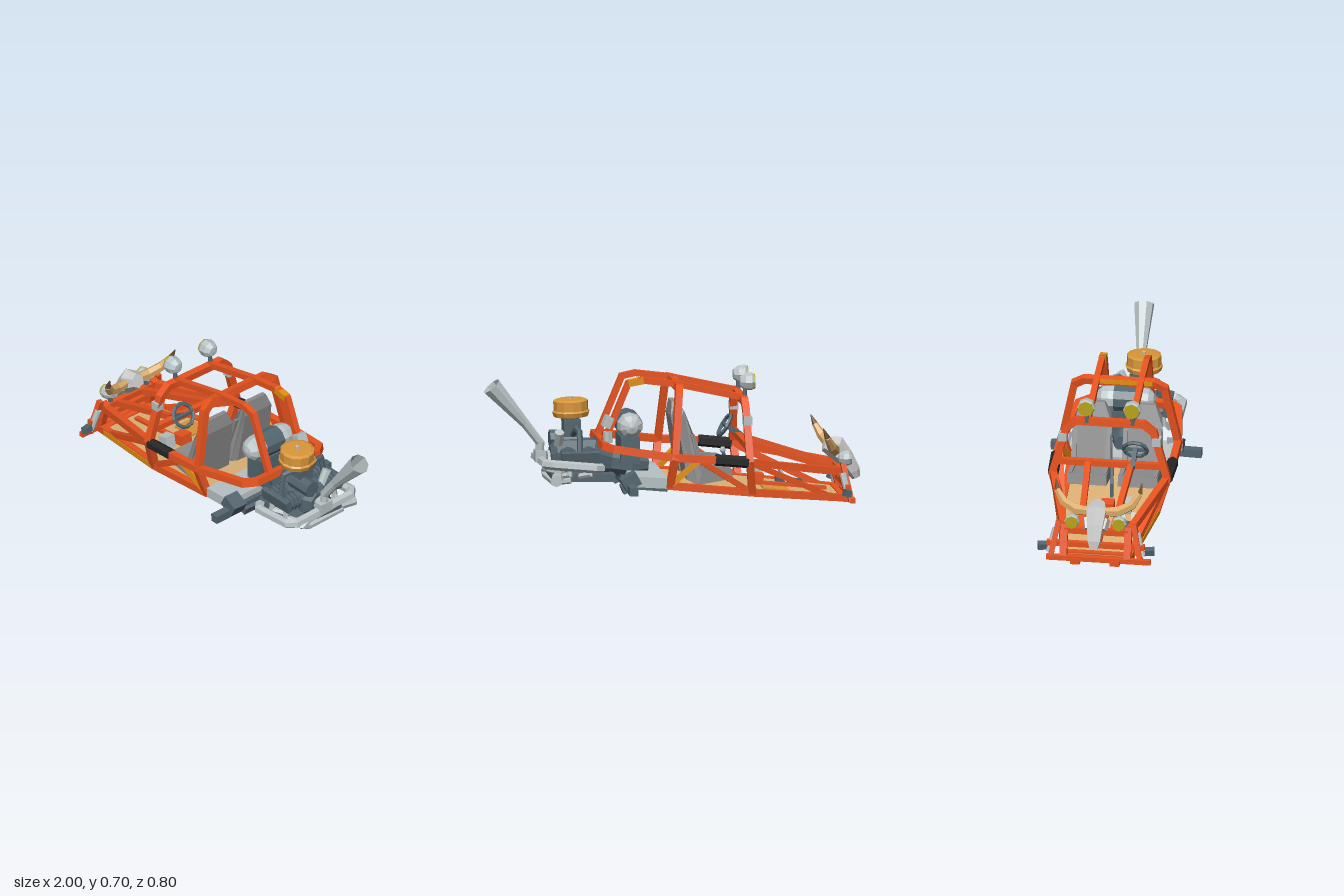
import * as THREE from 'three';

const COLORS = {
  red: 0xe8531f, amber: 0xe0900f, tan: 0xdcb277, steel: 0x53656f, light: 0xb9c3c5, seat: 0x8c8c8c, dark: 0x262626,
  bone: 0xbfc3c2, horn: 0xd6a765, tip: 0x6b4a2c, lens: 0xb8a418, filter: 0xd9973a,
};
const V = (a) => new THREE.Vector3(...a);
const flat = (list) => list.map((p) => new THREE.Vector2(...p));
const both = (fn) => [1, -1].forEach(fn);
// Points of one half, joined to their mirror image across z
const hoop = (half) => [...half, ...half.map(([x, y, z]) => [x, y, -z]).reverse()];

export function createModel() {
  const model = new THREE.Group();
  const mats = {};
  for (const k in COLORS) {
    mats[k] = new THREE.MeshStandardMaterial({ color: COLORS[k], flatShading: true, side: THREE.DoubleSide });
  }
  const add = (name, geo, mat, pos = [0, 0, 0], rot = [0, 0, 0]) => {
    const m = new THREE.Mesh(geo, mats[mat]);
    m.name = name;
    m.position.set(...pos);
    m.rotation.set(...rot);
    model.add(m);
  };
  const box = (name, mat, size, pos, rot) => add(name, new THREE.BoxGeometry(...size), mat, pos, rot);
  const cyl = (name, mat, r1, r2, h, pos, rot, n = 8) => add(name, new THREE.CylinderGeometry(r1, r2, h, n), mat, pos, rot);
  // Mitred tube along points; r is one half width or one per point
  const bar = (name, mat, points, r = 0.019, sides = 4, open = false) =>
    add(name, sweep(points.map(V), r, sides, open), mat);

  // ---- Tubular frame ----
  bar('frontHoop', 'red', hoop([[-0.39, 0.08, 0.25], [-0.37, 0.26, 0.305], [-0.36, 0.52, 0.232], [-0.36, 0.563, 0.18]]));
  bar('mainHoop', 'red', hoop([[0.05, 0.13, 0.265], [0.03, 0.28, 0.31], [0, 0.61, 0.24], [-0.01, 0.642, 0.185]]));
  bar('mainHoopPatch', 'amber', [[-0.02, 0.644, 0.18], [-0.02, 0.644, -0.11]], 0.013);
  bar('sideRails', 'red', hoop([[-0.88, 0.17, 0.17], [-0.37, 0.255, 0.3], [-0.18, 0.275, 0.31],
    [0.03, 0.29, 0.308], [0.34, 0.335, 0.265], [0.385, 0.342, 0.21]]));
  both((s) => {
    bar('lowerRail', 'red', [[-0.92, 0.03, s * 0.17], [-0.39, 0.085, s * 0.25], [0.06, 0.135, s * 0.265]]);
    bar('roofRail', 'red', [[-0.37, 0.57, s * 0.118], [-0.01, 0.652, s * 0.118], [0.18, 0.677, s * 0.118],
      [0.25, 0.662, s * 0.118], [0.38, 0.35, s * 0.118]], 0.016);
    bar('hoodRail', 'red', [[-0.88, 0.165, s * 0.085], [-0.37, 0.33, s * 0.115]], 0.016);
    bar('frontDiagonal', 'red', [[-0.8, 0.05, s * 0.185], [-0.39, 0.245, s * 0.295]], 0.015);
    bar('middleDiagonal', 'red', [[-0.38, 0.09, s * 0.25], [-0.09, 0.28, s * 0.305]], 0.015);
    bar('rearDiagonal', 'amber', [[-0.1, 0.275, s * 0.306], [0.045, 0.14, s * 0.268]], 0.016);
    bar('noseUpright', 'red', [[-0.92, 0.02, s * 0.17], [-0.87, 0.2, s * 0.17]]);
    bar('railSleeve', 'dark', [[-0.36, 0.256, s * 0.302], [-0.185, 0.275, s * 0.31]], 0.027, 6);
  });
  bar('lowerRailPatch', 'amber', [[-0.85, 0.038, 0.191], [-0.395, 0.086, 0.26]], 0.013);
  bar('roofPatch', 'amber', [[0.17, 0.676, -0.118], [0.25, 0.662, -0.118]], 0.018);
  [[-0.88, 0.17, 0.17], [-0.37, 0.33, 0.28], [0.055, 0.135, 0.265], [-0.88, 0.035, 0.17]]
    .forEach(([x, y, z]) => bar('crossBar', 'red', [[x, y, z], [x, y, -z]], 0.016));

  // ---- Floor ----
  const plan = new THREE.Shape(flat([[-0.9, 0.15], [-0.39, 0.24], [0.05, 0.255], [0.05, -0.255], [-0.39, -0.24], [-0.9, -0.15]]));
  const floorGeo = new THREE.ExtrudeGeometry(plan, { depth: 0.012, bevelEnabled: false }).rotateX(-Math.PI / 2).rotateZ(0.105);
  add('floor', floorGeo, 'tan', [0, 0.124, 0]);
  box('floorHatch', 'filter', [0.14, 0.012, 0.11], [-0.53, 0.084, -0.13], [0, 0, 0.105]);
  box('rearDeck', 'light', [0.2, 0.05, 0.52], [0.155, 0.155, 0], [0, 0, 0.1]);
  box('rearSkid', 'steel', [0.2, 0.03, 0.5], [0.16, 0.125, 0], [0, 0, 0.1]);

  // ---- Nose beams and uprights ----
  bar('frontBeam', 'red', [[-0.925, 0.028, 0.295], [-0.925, 0.028, -0.26]], 0.013);
  bar('upperBeam', 'red', [[-0.9, 0.1, 0.26], [-0.9, 0.1, -0.26]], 0.014);
  both((s) => {
    box('beamFoot', 'red', [0.05, 0.03, 0.05], [-0.92, 0.015, s * 0.105]);
    bar('shockTower', 'red', [[-0.92, 0.02, s * 0.24], [-0.88, 0.22, s * 0.2]], 0.014);
    cyl('shockAbsorber', 'light', 0.018, 0.018, 0.13, [-0.89, 0.11, s * 0.232], [s * -0.25, 0, -0.2]);
    box('steeringKnuckle', 'steel', [0.035, 0.035, 0.05], [-0.89, 0.075, s * 0.285], [0, 0.2, 0.2]);
  });

  // ---- Lamps: bowl behind, lens facing the nose ----
  const lamp = (name, x, y, z, r) => {
    const bowl = flat([[0, 0.8], [0.55, 0.75], [0.95, 0.2], [1, -0.5], [0.82, -0.8]]);
    add(name + 'Shell', new THREE.LatheGeometry(bowl, 8).scale(r, r, r), 'light', [x, y, z], [0, 0, -Math.PI / 2]);
    cyl(name + 'Lens', 'lens', r * 0.86, r * 0.86, 0.01, [x - r * 0.76, y, z], [0, 0, Math.PI / 2]);
  };
  both((s) => {
    lamp('roofLamp', -0.38, 0.657, s * 0.122, 0.048);
    cyl('roofLampStalk', 'steel', 0.01, 0.014, 0.06, [-0.37, 0.59, s * 0.122]);
    box('roofLampClamp', 'light', [0.045, 0.045, 0.045], [-0.365, 0.47, s * 0.25]);
    lamp('noseLamp', -0.9, 0.235, s * 0.125, 0.04);
    bar('noseLampStalk', 'steel', [[-0.88, 0.17, s * 0.125], [-0.89, 0.21, s * 0.125]], 0.01);
    // Horns curve outward, then up and back
    bar('horn', 'horn', [[-0.86, 0.275, s * 0.03], [-0.85, 0.275, s * 0.11], [-0.825, 0.305, s * 0.18], [-0.795, 0.36, s * 0.22]],
      [0.02, 0.025, 0.022, 0.014], 6);
    bar('hornTip', 'tip', [[-0.795, 0.36, s * 0.22], [-0.772, 0.412, s * 0.228]], [0.014, 0.002], 6);
    box('skullCheek', 'bone', [0.06, 0.045, 0.025], [-0.9, 0.22, s * 0.05], [0, s * -0.3, 0.9]);
  });
  bar('skull', 'bone', [[-0.81, 0.295, 0], [-0.87, 0.275, 0], [-0.92, 0.215, 0], [-0.965, 0.145, 0], [-0.98, 0.11, 0]],
    [0.035, 0.052, 0.042, 0.032, 0.02], 6);

  // ---- Cockpit ----
  const seatSide = new THREE.Shape(flat([[-0.29, 0.16], [-0.28, 0.215], [-0.13, 0.205], [-0.075, 0.41], [-0.035, 0.525],
    [-0.01, 0.525], [0.0, 0.45], [-0.045, 0.16], [-0.1, 0.13]]));
  both((s) => {
    const geo = new THREE.ExtrudeGeometry(seatSide, { depth: 0.21, bevelEnabled: false }).translate(0, 0, -0.105);
    const p = geo.attributes.position;
    // Narrow toward the top of the backrest
    for (let i = 0; i < p.count; i++) p.setZ(i, p.getZ(i) * (1 - Math.max(0, p.getY(i) - 0.42) * 4));
    geo.computeVertexNormals();
    add('seat', geo, 'seat', [0, 0, s * 0.135]);
    both((t) => bar('seatBolster', 'seat', [[-0.27, 0.21, s * 0.135 + t * 0.09], [-0.13, 0.21, s * 0.135 + t * 0.09],
      [-0.075, 0.4, s * 0.135 + t * 0.09]], [0.01, 0.016, 0.01]));
  });
  const hub = [-0.3, 0.385, 0.125];
  add('steeringWheel', new THREE.TorusGeometry(0.063, 0.011, 5, 12).rotateY(Math.PI / 2), 'steel', hub, [0, 0, 0.55]);
  bar('steeringColumn', 'steel', [hub, [-0.4, 0.325, 0.125]], 0.012);
  bar('steeringSpoke', 'steel', [[-0.3, 0.385, 0.065], [-0.3, 0.385, 0.185]], 0.008);
  bar('gearLever', 'steel', [[-0.3, 0.1, 0], [-0.3, 0.18, 0], [-0.27, 0.27, 0]], 0.008);
  add('gearKnob', new THREE.IcosahedronGeometry(0.018, 0), 'light', [-0.27, 0.275, 0]);
  box('toolBox', 'red', [0.065, 0.065, 0.07], [-0.45, 0.115, 0], [0, 0, 0.1]);
  bar('floorTunnel', 'red', [[-0.82, 0.055, 0], [-0.48, 0.09, 0]], 0.013);
  box('pedalBase', 'steel', [0.14, 0.025, 0.04], [-0.64, 0.078, 0.14], [0, 0.1, 0.1]);
  [0.06, 0.1, 0.16].forEach((z) => box('pedal', 'light', [0.012, 0.075, 0.03], [-0.6, 0.12, z], [0, 0, -0.45]));
  box('floorCan', 'light', [0.06, 0.07, 0.06], [-0.46, 0.135, 0.1], [0, 0, 0.2]);

  // ---- Fuel tank across the frame behind the seats ----
  const tank = [[0, -0.16], [0.035, -0.15], [0.06, -0.125], [0.068, -0.09], [0.068, 0.09], [0.06, 0.125], [0.035, 0.15], [0, 0.16]];
  add('fuelTank', new THREE.LatheGeometry(flat(tank), 10), 'light', [0.235, 0.43, 0], [Math.PI / 2, 0, 0]);
  cyl('tankBand', 'steel', 0.071, 0.071, 0.12, [0.235, 0.43, 0], [Math.PI / 2, 0, 0], 10);
  box('tankCradle', 'steel', [0.1, 0.14, 0.2], [0.235, 0.3, 0]);
  box('coilBox', 'light', [0.045, 0.06, 0.06], [0.36, 0.46, -0.115], [0, 0, 0.4]);
  cyl('breatherCan', 'light', 0.026, 0.026, 0.06, [0.36, 0.38, -0.13]);

  // ---- Rear axle and gearbox ----
  both((s) => {
    bar('axle', 'steel', [[0.26, 0.14, 0], [0.26, 0.128, s * 0.4]], 0.022);
    box('axleHousing', 'steel', [0.09, 0.07, 0.085], [0.26, 0.165, s * 0.262], [0, 0, -0.5]);
    box('axleBracket', 'steel', [0.07, 0.045, 0.08], [0.26, 0.118, s * 0.17], [0, 0, -0.4]);
    bar('trailingArm', 'light', [[0.07, 0.15, s * 0.255], [0.25, 0.165, s * 0.262]], 0.028);
  });
  bar('gearbox', 'steel', [[0.13, 0.21, 0], [0.22, 0.215, 0], [0.33, 0.23, 0], [0.43, 0.25, 0]], [0.045, 0.07, 0.07, 0.11], 8);

  // ---- Engine ----
  bar('crankcase', 'steel', [[0.4, 0.255, 0], [0.62, 0.255, 0], [0.65, 0.255, 0]], [0.095, 0.095, 0.06], 8);
  box('sump', 'steel', [0.34, 0.04, 0.28], [0.49, 0.165, 0], [0, 0, 0.03]);
  both((s) => {
    [0.46, 0.57].forEach((x) => {
      for (let i = 0; i < 3; i++) cyl('coolingFin', 'steel', 0.05, 0.05, 0.014, [x, 0.28, s * (0.11 + i * 0.026)], [Math.PI / 2, 0, 0]);
      cyl('cylinderBarrel', 'steel', 0.04, 0.04, 0.1, [x, 0.28, s * 0.13], [Math.PI / 2, 0, 0]);
      bar('exhaustPort', 'light', [[x, 0.25, s * 0.16], [x, 0.19, s * 0.17], [x + 0.05, 0.175, s * 0.13]], 0.014, 6);
    });
    box('rockerCover', 'steel', [0.2, 0.065, 0.03], [0.515, 0.28, s * 0.185], [s * 0.2, 0, 0]);
    bar('intakeManifold', 'steel', [[0.53, 0.38, s * 0.02], [0.52, 0.42, s * 0.08], [0.51, 0.41, s * 0.13], [0.51, 0.3, s * 0.15]], 0.014, 6);
  });
  cyl('crankPulley', 'light', 0.045, 0.045, 0.02, [0.655, 0.25, 0], [0, 0, Math.PI / 2]);
  cyl('generator', 'steel', 0.046, 0.046, 0.15, [0.57, 0.35, 0.05], [0, 0, Math.PI / 2]);
  cyl('distributor', 'light', 0.026, 0.022, 0.1, [0.61, 0.36, -0.06], [-0.5, 0, 0]);
  box('carburettor', 'steel', [0.09, 0.09, 0.09], [0.53, 0.41, 0.03]);
  cyl('airHorn', 'steel', 0.055, 0.045, 0.04, [0.535, 0.46, 0.05]);
  // Radius and height of the air filter, bottom to top
  const can = flat([[0, -0.045], [0.092, -0.045], [0.1, -0.02], [0.092, -0.012], [0.092, 0.038], [0.075, 0.045], [0, 0.047]]);
  add('airFilter', new THREE.LatheGeometry(can, 12), 'filter', [0.53, 0.512, 0.055], [0, 0, -0.04]);
  cyl('airFilterNut', 'light', 0.01, 0.01, 0.016, [0.53, 0.562, 0.055]);

  // ---- Exhaust: loop around the engine, lower headers and a flared stack ----
  bar('exhaustLoop', 'light', [[0.4, 0.205, 0.2], [0.44, 0.21, 0.24], [0.66, 0.228, 0.24], [0.695, 0.232, 0.205],
    [0.695, 0.25, -0.17], [0.66, 0.25, -0.205], [0.44, 0.228, -0.21], [0.4, 0.222, -0.18]], 0.023, 6);
  bar('lowerHeader', 'light', [[0.56, 0.16, -0.16], [0.65, 0.15, -0.14], [0.66, 0.148, 0.09], [0.66, 0.165, 0.12],
    [0.66, 0.185, 0.09], [0.66, 0.205, -0.08], [0.6, 0.2, -0.15]], 0.016, 6);
  cyl('sideMuffler', 'light', 0.032, 0.032, 0.09, [0.64, 0.17, -0.195], [Math.PI / 2, 0, 0.2]);
  box('stackCollar', 'light', [0.055, 0.06, 0.08], [0.7, 0.265, 0.02]);
  bar('exhaustStack', 'light', [[0.7, 0.26, 0.015], [0.7, 0.335, 0.012], [0.78, 0.44, 0.005], [0.96, 0.645, -0.005]],
    [0.021, 0.022, 0.024, 0.05], 8, true);
  return model;
}

// Sweeps a regular section along a polyline, with mitred corners
function sweep(pts, r, sides, open) {
  const rad = (i) => (Array.isArray(r) ? r[i] : r);
  const dirs = pts.slice(1).map((p, i) => p.clone().sub(pts[i]).normalize());
  const u = V(Math.abs(dirs[0].y) > 0.75 ? [1, 0, 0] : [0, 1, 0]).cross(dirs[0]).normalize();
  const w = dirs[0].clone().cross(u);
  const rings = [[]];
  for (let k = 0; k < sides; k++) {
    const a = ((k + 0.5) / sides) * Math.PI * 2, c = rad(0) / Math.cos(Math.PI / sides);
    rings[0].push(u.clone().multiplyScalar(Math.cos(a) * c).addScaledVector(w, Math.sin(a) * c));
  }
  dirs.forEach((d, i) => {
    const n = d.clone().add(dirs[i + 1] || d).normalize();
    rings.push(rings[i].map((o) => o.clone().addScaledVector(d, -o.dot(n) / d.dot(n)).multiplyScalar(rad(i + 1) / rad(i))));
  });
  const at = (i, k) => rings[i][k % sides].clone().add(pts[i]);
  const out = [], last = dirs.length;
  for (let k = 0; k < sides; k++) {
    for (let i = 0; i < last; i++) out.push(at(i, k), at(i, k + 1), at(i + 1, k + 1), at(i, k), at(i + 1, k + 1), at(i + 1, k));
    out.push(pts[0], at(0, k + 1), at(0, k));
    if (!open) out.push(pts[last], at(last, k), at(last, k + 1));
  }
  const g = new THREE.BufferGeometry().setFromPoints(out);
  g.computeVertexNormals();
  return g;
}
